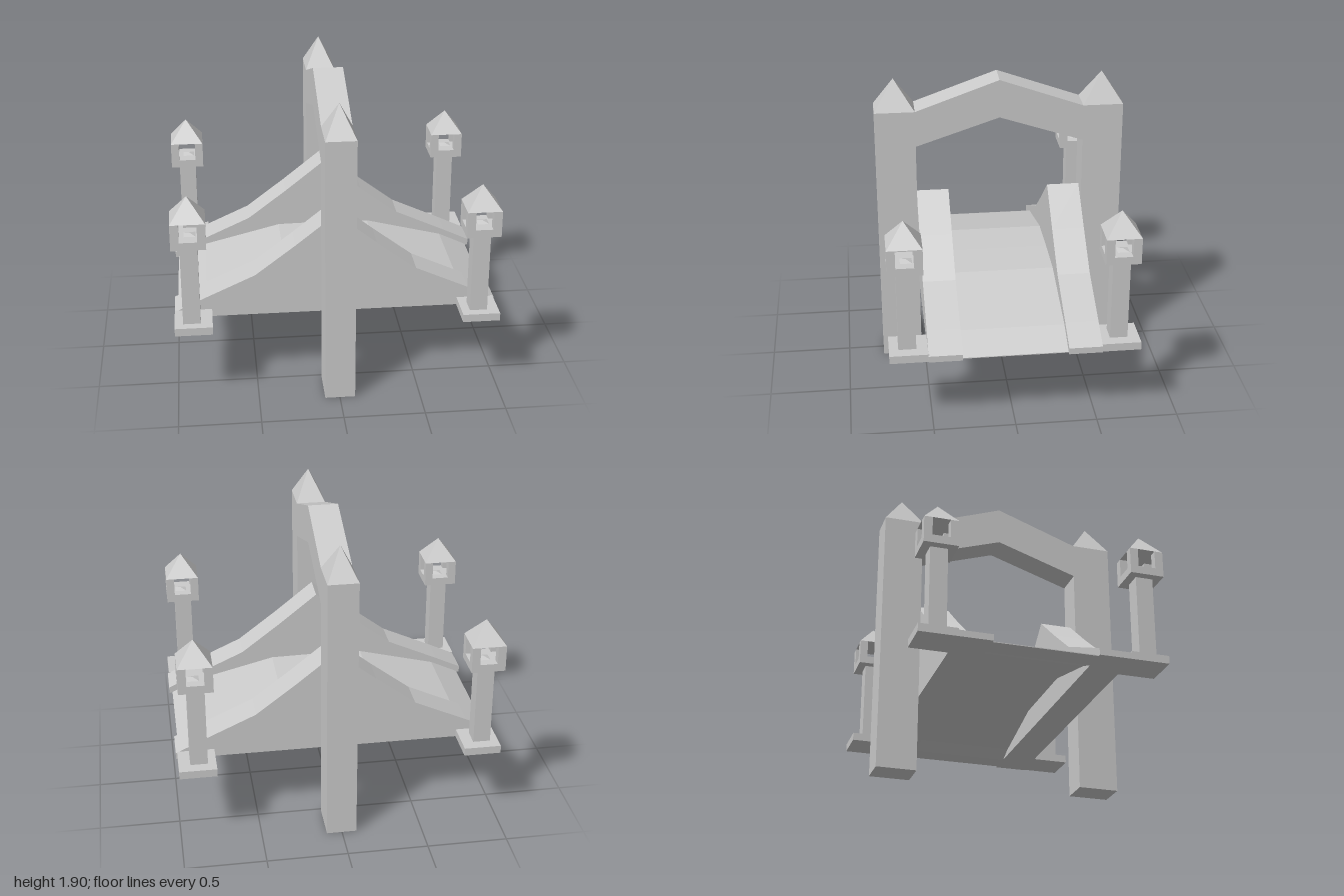
import * as THREE from 'three';

const grey = new THREE.MeshStandardMaterial({ color: 0xcccccc, flatShading: true });

function add(parent, name, geometry, x = 0, y = 0, z = 0) {
  const mesh = new THREE.Mesh(geometry, grey);
  mesh.name = name;
  mesh.position.set(x, y, z);
  parent.add(mesh);
  return mesh;
}

// Block standing on height y
function block(parent, name, w, h, d, x, y, z) {
  return add(parent, name, new THREE.BoxGeometry(w, h, d), x, y + h / 2, z);
}

// Four-sided roof standing on height y
function pyramid(parent, name, w, h, d, x, y, z) {
  const geometry = new THREE.ConeGeometry(Math.SQRT1_2, h, 4).rotateY(Math.PI / 4).scale(w, 1, d);
  return add(parent, name, geometry, x, y + h / 2, z);
}

// Flat outline extruded evenly either side of z = 0
function slab(points, depth) {
  const shape = new THREE.Shape(points.map(([x, y]) => new THREE.Vector2(x, y)));
  return new THREE.ExtrudeGeometry(shape, { depth, bevelEnabled: false }).translate(0, 0, -depth / 2);
}

// Completes a half outline, given from one end to the middle, by mirroring it
const mirrored = (half) => [...half, ...half.filter(([x]) => x !== 0).reverse().map(([x, y]) => [-x, y])];

function createLantern() {
  const lantern = new THREE.Group();
  block(lantern, 'lanternFoot', 0.23, 0.05, 0.235, 0.01, 0.48, -0.008);
  block(lantern, 'lanternPole', 0.107, 0.52, 0.107, 0, 0.53, 0);
  block(lantern, 'lanternFloor', 0.21, 0.05, 0.21, 0, 1.05, 0);
  for (const sx of [-1, 1]) {
    for (const sz of [-1, 1]) {
      block(lantern, 'lanternCornerPost', 0.051, 0.115, 0.051, sx * 0.0795, 1.1, sz * 0.0795);
    }
  }
  pyramid(lantern, 'lanternFlame', 0.07, 0.012, 0.07, 0.01, 1.1, -0.01);
  pyramid(lantern, 'lanternRoof', 0.21, 0.138, 0.21, 0, 1.215, 0);
  return lantern;
}

export function createModel() {
  const model = new THREE.Group();

  // Gateway: two posts with pointed caps and a gabled beam
  const gateway = new THREE.Group();
  gateway.name = 'gateway';
  model.add(gateway);
  for (const side of [-1, 1]) {
    block(gateway, 'gatePost', 0.187, 1.71, 0.25, 0.002, 0, side * 0.647);
    pyramid(gateway, 'gatePostCap', 0.187, 0.19, 0.25, 0.002, 1.71, side * 0.647);
  }
  const beam = slab([[-0.523, 1.48], [0, 1.653], [0.523, 1.48], [0.523, 1.71], [0, 1.897], [-0.523, 1.71]], 0.187);
  add(gateway, 'gateBeam', beam.rotateY(-Math.PI / 2), 0.002);

  // Bridge deck, arched above and hollowed below
  const deckTop = mirrored([[0.98, 0.48], [0.98, 0.485], [0.8, 0.57], [0.3, 0.695], [0, 0.7]]);
  const deckUnder = mirrored([[-0.84, 0.48], [-0.74, 0.52], [-0.28, 0.63]]);
  add(model, 'bridgeDeck', slab([...deckTop, ...deckUnder], 0.64));

  // Side walls sweeping up to the gateway
  const wall = mirrored([[1, 0.48], [1, 0.52], [0.83, 0.6], [0.5, 0.75], [0.25, 0.94], [0, 1.14]]);
  for (const side of [-1, 1]) {
    add(model, side > 0 ? 'frontWall' : 'backWall', slab(wall, 0.203), 0, 0, side * 0.419);
  }

  // Lanterns at the four corners
  for (const x of [-0.895, 0.867]) {
    for (const z of [-0.63, 0.642]) {
      const lantern = createLantern();
      lantern.name = (z > 0 ? 'front' : 'back') + (x > 0 ? 'Left' : 'Right') + 'Lantern';
      lantern.position.set(x, 0, z);
      model.add(lantern);
    }
  }
  return model;
}
